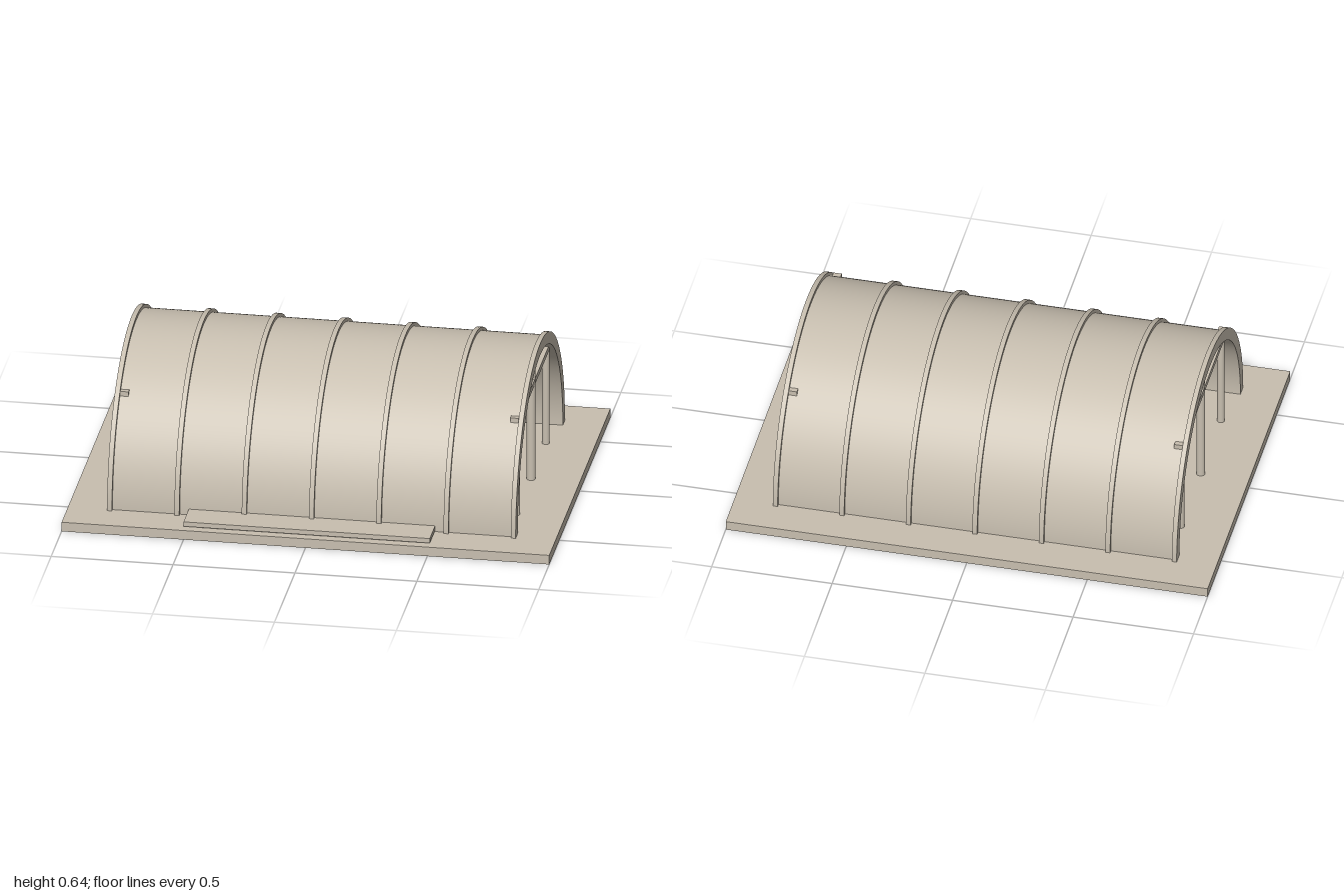
import * as THREE from 'three';
import { toCreasedNormals } from 'three/addons/utils/BufferGeometryUtils.js';

const FLOOR = 0.04; // top of the base slab

export function createModel() {
  const group = new THREE.Group();
  const stone = new THREE.MeshStandardMaterial({ color: 0xc8bfb0 });
  stone.name = 'warm beige';

  const add = (name, geometry, x, y, z) => {
    const mesh = new THREE.Mesh(geometry, stone);
    mesh.name = name;
    mesh.position.set(x, y, z);
    group.add(mesh);
    return mesh;
  };
  const box = (name, w, h, d, x, y, z) => add(name, new THREE.BoxGeometry(w, h, d), x, y, z);

  // Half-ring arch standing on the slab, extruded along x
  const arch = (name, outer, inner, length, x) => {
    const shape = new THREE.Shape();
    shape.absarc(0, 0, outer, 0, Math.PI, false);
    shape.absarc(0, 0, inner, Math.PI, 0, true);
    shape.closePath();
    const geometry = new THREE.ExtrudeGeometry(shape, { depth: length, bevelEnabled: false, curveSegments: 64 });
    geometry.translate(0, 0, -length / 2);
    geometry.rotateY(Math.PI / 2);
    add(name, toCreasedNormals(geometry, 0.5), x, FLOOR, 0);
  };

  // Base slab
  box('baseSlab', 2, FLOOR, 1.49, 0, FLOOR / 2, 0);

  // Vaulted shell with seven raised ribs
  arch('vaultShell', 0.586, 0.55, 1.67, 0);
  for (let i = -3; i <= 3; i++) arch('rib', 0.6, 0.55, 0.02, i * 0.276);

  // Timber frame at each open end
  for (const side of [-1, 1]) {
    const x = side * 0.8;
    box('crossBeam', 0.034, 0.024, 0.81, x, 0.472, 0);
    for (const [z, radius, top] of [[-0.362, 0.015, 0.47], [0, 0.018, 0.56], [0.362, 0.015, 0.47]]) {
      const height = top - FLOOR;
      add('post', new THREE.CylinderGeometry(radius, radius, height, 20), x, FLOOR + height / 2, z);
    }
  }

  // Low step along the front, on a thin recessed footing
  box('frontStep', 1.01, 0.02, 0.17, 0, 0.055, 0.63);
  box('stepFooting', 0.9, 0.006, 0.15, 0, 0.042, 0.63);

  return group;
}
